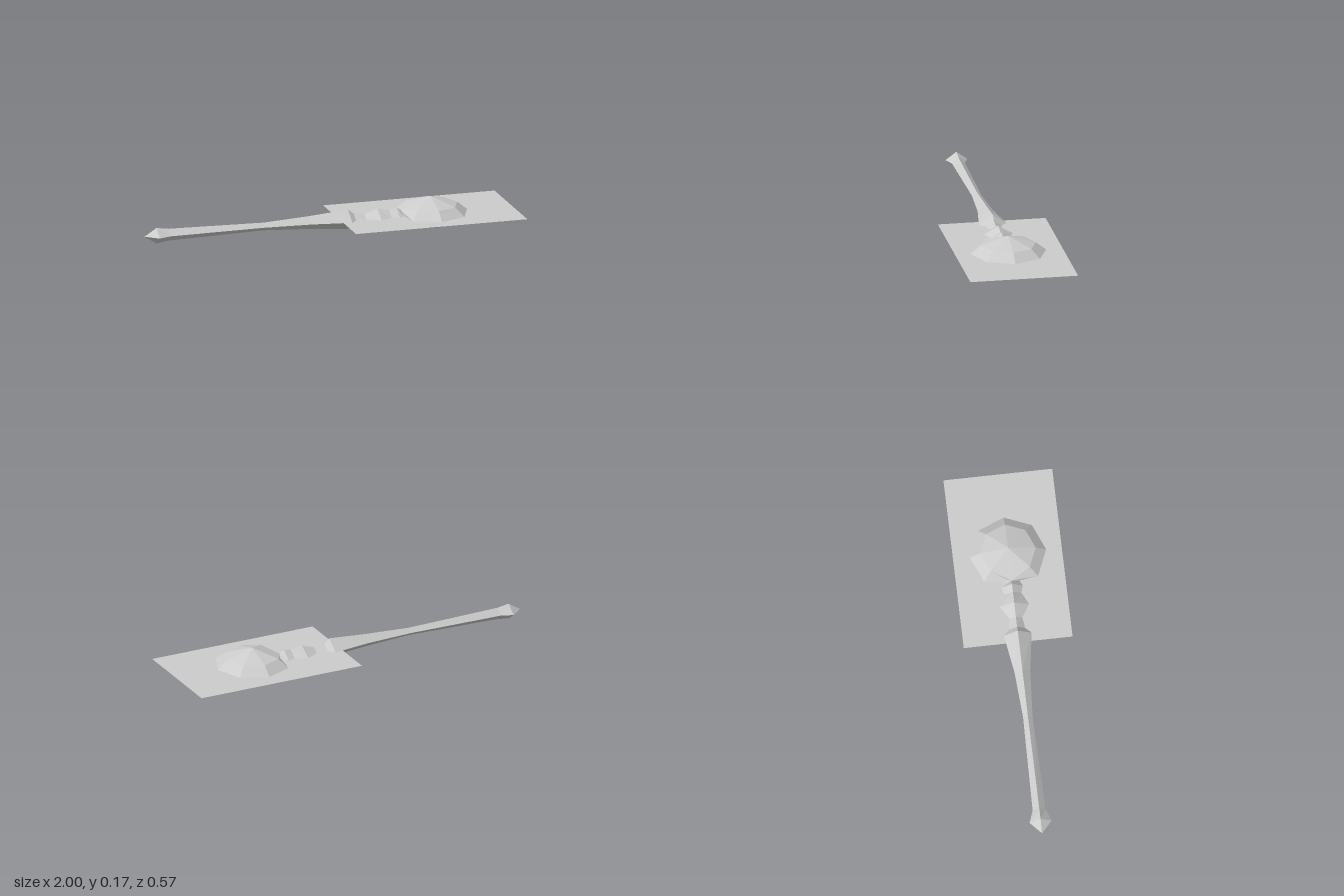
import * as THREE from 'three';

const MID = 0.088; // height of the centre plane

// Diamond-section bar along x; each station is [x, half height, half depth]
function diamondBar(stations) {
  const corner = ([x, h, d], k) => {
    const a = (k % 4) * Math.PI / 2;
    return [x, MID + h * Math.cos(a), d * Math.sin(a)];
  };
  const pos = [];
  for (let i = 0; i < stations.length - 1; i++) {
    for (let k = 0; k < 4; k++) {
      const a = corner(stations[i], k), b = corner(stations[i + 1], k);
      const c = corner(stations[i + 1], k + 1), d = corner(stations[i], k + 1);
      pos.push(...a, ...d, ...c, ...a, ...c, ...b);
    }
  }
  const g = new THREE.BufferGeometry();
  g.setAttribute('position', new THREE.Float32BufferAttribute(pos, 3));
  g.computeVertexNormals();
  return g;
}

// Faceted eight-sided head, with its handle-side corner narrowed to the neck
function headGeometry() {
  const profile = [[0, -0.0875], [0.145, -0.044], [0.2, 0], [0.145, 0.044], [0, 0.0875]]
    .map(([r, y]) => new THREE.Vector2(r, y));
  const g = new THREE.LatheGeometry(profile, 8).toNonIndexed();
  const p = g.attributes.position;
  for (let i = 0; i < p.count; i++) {
    if (p.getX(i) < -0.143 && Math.abs(p.getZ(i)) < 0.01) {
      p.setX(i, -0.16);
      p.setY(i, p.getY(i) * 0.5);
    }
  }
  g.computeVertexNormals();
  return g;
}

export function createModel() {
  const group = new THREE.Group();
  const grey = new THREE.MeshStandardMaterial({ color: 0xcccccc, flatShading: true, side: THREE.DoubleSide });
  grey.name = 'plain grey';

  const add = (name, geometry) => {
    const mesh = new THREE.Mesh(geometry, grey);
    mesh.name = name;
    group.add(mesh);
    return mesh;
  };

  // Pommel and tapering grip
  add('handle', diamondBar([
    [-1, 0, 0], [-0.935, 0.042, 0.058], [-0.87, 0.032, 0.034], [-0.35, 0.021, 0.025],
    [-0.1, 0.035, 0.041], [0.11, 0.052, 0.073], [0.14, 0.029, 0.042],
  ]));

  // Beaded neck
  add('neck', diamondBar([
    [0.14, 0.029, 0.042], [0.2, 0.02, 0.034], [0.27, 0.043, 0.077],
    [0.335, 0.031, 0.045], [0.375, 0.041, 0.056], [0.4, 0.022, 0.045], [0.44, 0.02, 0.03],
  ]));

  add('head', headGeometry()).position.set(0.56, MID, 0);

  // Thin flat sheet through the head
  const sheet = add('sheet', new THREE.PlaneGeometry(0.935, 0.57));
  sheet.rotation.x = -Math.PI / 2;
  sheet.position.set(0.5325, MID, -0.003);

  return group;
}
